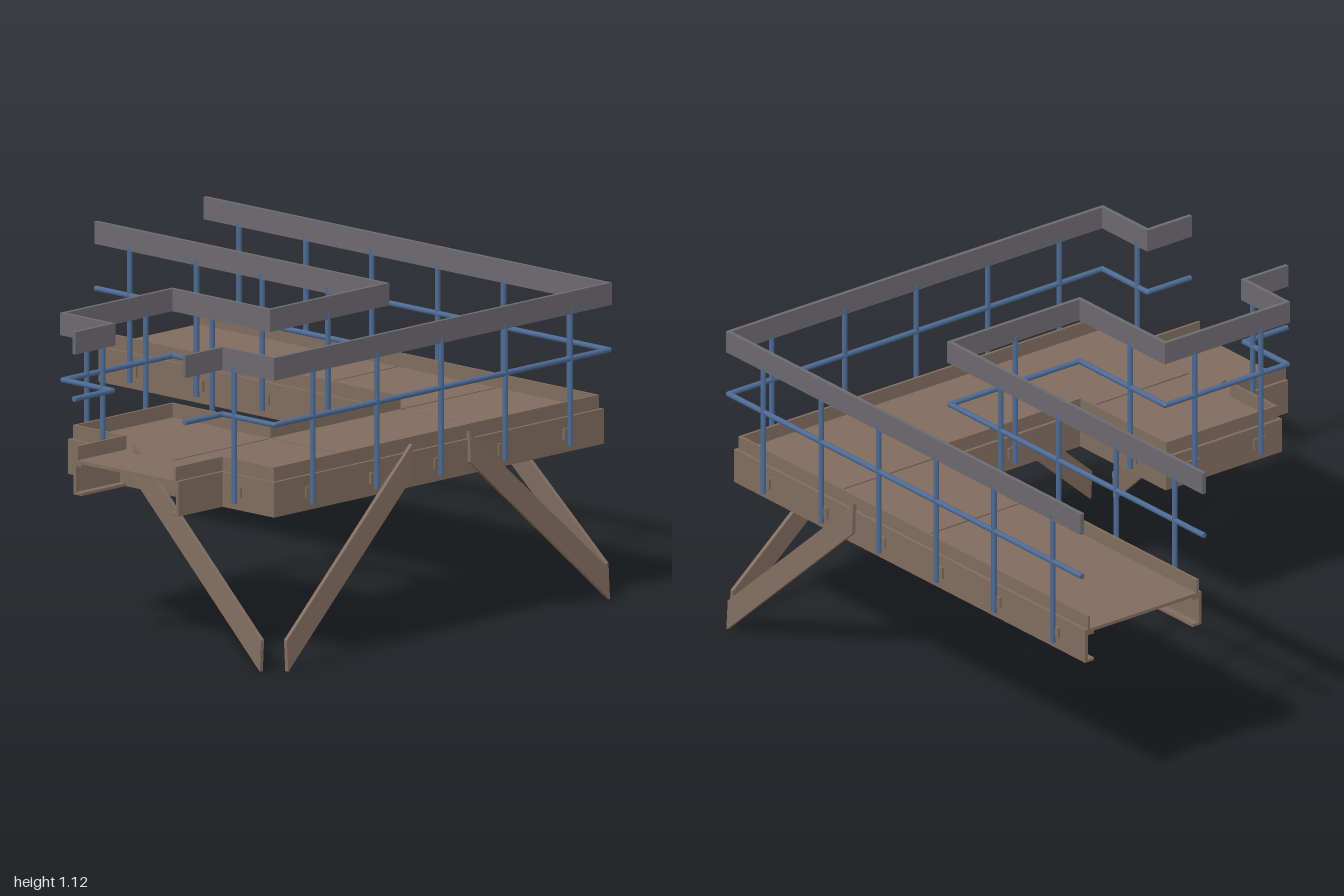
import * as THREE from 'three';

const mat = (name, color) => {
  const m = new THREE.MeshStandardMaterial({ color });
  m.name = name;
  return m;
};

export function createModel() {
  const root = new THREE.Group();
  root.name = 'walkway';
  const brown = mat('rustBrown', 0x806c5e);
  const railGrey = mat('railGrey', 0x6c696f);
  const blue = mat('postBlue', 0x4d6a94);

  const add = (name, geo, material, parent = root) => {
    const mesh = new THREE.Mesh(geo, material);
    mesh.name = name;
    parent.add(mesh);
    return mesh;
  };
  const box = (name, x0, x1, y0, y1, z0, z1, material) =>
    add(name, new THREE.BoxGeometry(x1 - x0, y1 - y0, z1 - z0), material)
      .position.set((x0 + x1) / 2, (y0 + y1) / 2, (z0 + z1) / 2);

  // Deck edges as [x, z]; the outside lies along (dz, -dx)
  const edges = (endX) => ({
    outer: [[0.905, -1], [0.905, 0.95], [-0.74, 0.95], [-0.74, 0.7], [endX, 0.7]],
    inner: [[endX, 0.19], [-0.74, 0.19], [-0.74, -0.05], [-0.22, -0.05],
      [-0.22, 0.425], [0.385, 0.425], [0.385, -1]],
  });

  // Shift a right-angled path outwards with mitred corners
  const offset = (path, d) => {
    const normals = path.slice(1).map(([x, z], i) =>
      [Math.sign(z - path[i][1]), -Math.sign(x - path[i][0])]);
    return path.map(([x, z], i) => {
      const a = normals[i - 1], b = normals[i];
      const nx = a && b ? a[0] + b[0] : (a || b)[0];
      const nz = a && b ? a[1] + b[1] : (a || b)[1];
      return [x + nx * d, z + nz * d];
    });
  };

  // Upright strip following a path between two offsets and two heights
  const strip = (name, path, d0, d1, y0, y1, material) => {
    const outline = [...offset(path, d0), ...offset(path, d1).reverse()];
    const shape = new THREE.Shape(outline.map(([x, z]) => new THREE.Vector2(x, -z)));
    const geo = new THREE.ExtrudeGeometry(shape, { depth: y1 - y0, bevelEnabled: false });
    geo.rotateX(-Math.PI / 2);
    geo.translate(0, y0, 0);
    add(name, geo, material);
  };

  // Channel beams and kick plates
  for (const [side, path] of Object.entries(edges(-0.96))) {
    strip(side + 'BeamWeb', path, -0.012, 0, 0.545, 0.67, brown);
    strip(side + 'BeamBottomFlange', path, -0.04, -0.012, 0.545, 0.555, brown);
    strip(side + 'BeamTopFlange', path, -0.04, -0.012, 0.648, 0.658, brown);
    strip(side + 'KickPlate', path, -0.022, -0.012, 0.66, 0.72, brown);
  }
  box('crossBeam', -0.74, -0.728, 0.545, 0.655, 0.19, 0.7, brown);

  // Floor panels with narrow gaps: x0, x1, z0, z1
  const panels = [
    [-0.726, -0.234, -0.037, 0.446], [-0.726, -0.249, 0.454, 0.937],
    [-0.241, 0.404, 0.44, 0.937], [0.41, 0.892, 0.454, 0.937],
    [0.398, 0.892, -0.026, 0.446], [0.398, 0.892, -1, -0.034],
    [-0.96, -0.728, 0.203, 0.687],
  ];
  for (const [x0, x1, z0, z1] of panels) box('floorPanel', x0, x1, 0.658, 0.67, z0, z1, brown);

  // Top boards and round middle rails
  for (const [side, path] of Object.entries(edges(-0.945))) {
    strip(side + 'TopRail', path, 0.005, 0.02, 1.04, 1.12, railGrey);
    const line = offset(path, 0.013).map(([x, z]) => new THREE.Vector3(x, 0.88, z));
    line.slice(1).forEach((p, i) => {
      const q = line[i];
      const bar = add(side + 'MiddleRail',
        new THREE.CylinderGeometry(0.01, 0.01, p.distanceTo(q), 10), blue);
      bar.position.copy(p).add(q).multiplyScalar(0.5);
      bar.quaternion.setFromUnitVectors(new THREE.Vector3(0, 1, 0), p.clone().sub(q).normalize());
      if (i > 0) {
        add(side + 'RailElbow', new THREE.SphereGeometry(0.01, 10, 6), blue).position.copy(q);
      }
    });
  }

  // Posts with a fixing plate against the beam: x, z, outward direction
  const posts = [];
  for (const z of [0.77, 0.45, 0.13, -0.19, -0.51, -0.835]) posts.push([0.918, z, 1, 0]);
  for (const x of [0.725, 0.4, 0.08, -0.24, -0.56]) posts.push([x, 0.963, 0, 1]);
  for (const z of [0.13, -0.19, -0.51, -0.835]) posts.push([0.372, z, -1, 0]);
  for (const x of [-0.635, -0.34]) posts.push([x, -0.063, 0, -1]);
  posts.push([0.08, 0.412, 0, -1], [-0.207, 0.13, 1, 0], [-0.753, 0.77, -1, 0], [-0.753, 0.13, -1, 0]);
  const postGeo = new THREE.CylinderGeometry(0.01, 0.01, 0.49, 10);
  for (const [x, z, nx, nz] of posts) {
    add('post', postGeo, blue).position.set(x, 0.815, z);
    const w = nx ? 0.008 : 0.05, d = nz ? 0.008 : 0.05;
    add('postPlate', new THREE.BoxGeometry(w, 0.04, d), brown)
      .position.set(x - nx * 0.009, 0.61, z - nz * 0.009);
  }

  // Diagonal flat braces that lean outwards at the foot
  const brace = (name, footX, topX, out, turn) => {
    const geo = new THREE.BoxGeometry(1, 1, 1).toNonIndexed();
    const p = geo.attributes.position;
    for (let i = 0; i < p.count; i++) {
      const isFoot = (p.getX(i) < 0) === (footX < topX);
      const y = (isFoot ? 0 : 0.59) + (p.getY(i) > 0 ? 0.11 : 0);
      const z = out - 0.04 * (y / 0.7) - (p.getZ(i) < 0 ? 0.015 : 0);
      p.setXYZ(i, isFoot ? footX : topX, y, z);
    }
    geo.computeVertexNormals();
    add(name, geo, brown).rotation.y = turn;
  };
  brace('frontBraceRight', -0.72, -0.06, 1, 0);
  brace('frontBraceLeft', 0.885, 0.225, 1, 0);
  brace('sideBraceLeft', -0.93, -0.275, 0.955, Math.PI / 2);
  brace('sideBraceRight', 0.93, 0.275, 0.79, -Math.PI / 2);

  return root;
}
